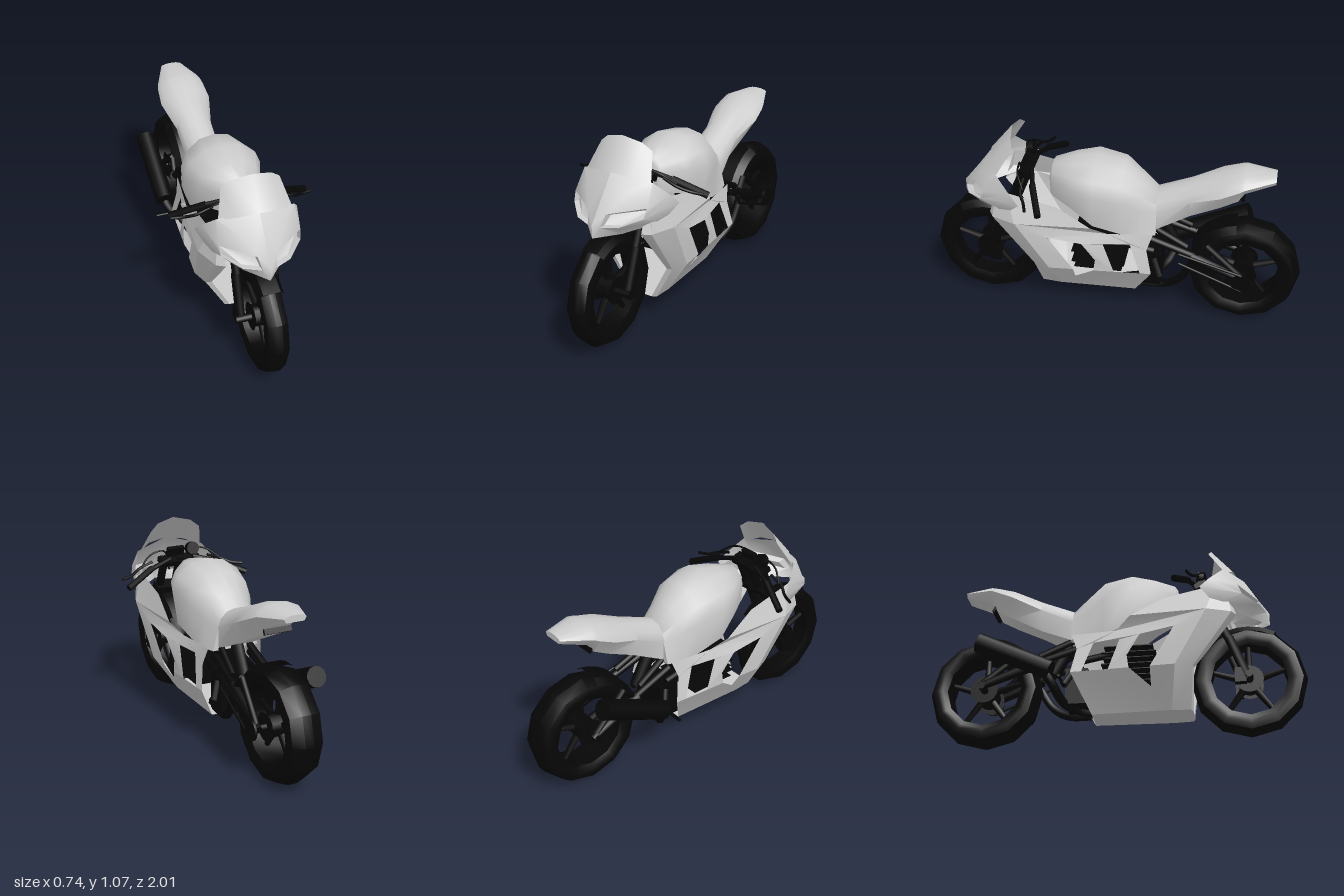
import * as THREE from 'three';
import { toCreasedNormals } from 'three/addons/utils/BufferGeometryUtils.js';

const grey = new THREE.MeshStandardMaterial({ color: 0xcccccc, side: THREE.DoubleSide });
const black = new THREE.MeshStandardMaterial({ color: 0x060606, side: THREE.DoubleSide });
const V = (p) => new THREE.Vector3(...p);

function add(parent, name, geo, mat = black) {
  const mesh = new THREE.Mesh(geo, mat);
  mesh.name = name;
  parent.add(mesh);
  return mesh;
}

function box(parent, name, size, pos, rx = 0) {
  const mesh = add(parent, name, new THREE.BoxGeometry(...size));
  mesh.position.set(...pos);
  mesh.rotation.x = rx;
  return mesh;
}

// Straight bar between two points
function rod(parent, name, a, b, r, r2 = r, sides = 8) {
  const d = V(b).sub(V(a));
  const mesh = add(parent, name, new THREE.CylinderGeometry(r2, r, d.length(), sides));
  mesh.position.copy(V(a)).addScaledVector(d, 0.5);
  mesh.quaternion.setFromUnitVectors(new THREE.Vector3(0, 1, 0), d.normalize());
  return mesh;
}

function tube(parent, name, pts, r) {
  add(parent, name, new THREE.TubeGeometry(new THREE.CatmullRomCurve3(pts.map(V)), 20, r, 7));
}

function faces(points, index, crease = 0.6) {
  const geo = new THREE.BufferGeometry();
  geo.setAttribute('position', new THREE.Float32BufferAttribute(points.flat(), 3));
  geo.setIndex(index);
  return toCreasedNormals(geo, crease);
}

// Surface through rows with equal point counts
function grid(rows, crease) {
  const n = rows[0].length, index = [];
  for (let i = 0; i < rows.length - 1; i++)
    for (let j = 0; j < n - 1; j++) {
      const a = i * n + j, c = a + n;
      index.push(a, a + 1, c, a + 1, c + 1, c);
    }
  return faces(rows.flat(), index, crease);
}

// Body loft; section: z, top y, half width, y of widest, bottom y, bottom half width
function body(sections, crease) {
  const rows = sections.map(([z, top, w, mid, bot, bw]) => {
    const half = [[0, top], [w * 0.45, top - (top - mid) * 0.1], [w * 0.85, mid + (top - mid) * 0.5],
      [w, mid], [bw, bot], [0, bot]];
    const other = half.slice(0, -1).reverse().map(([x, y]) => [-x, y]);
    return [...half, ...other].map(([x, y]) => [x, y, z]);
  });
  const cap = (row) => {
    const y = (row[0][1] + row[5][1]) / 2;
    return row.map((p) => [0, y, p[2]]);
  };
  return grid([cap(rows[0]), ...rows, cap(rows.at(-1))], crease);
}

// Lathe turned so its axis runs along x; angle runs from +z up to +y
function ring(profile, segments, start = 0, sweep = Math.PI * 2) {
  const pts = profile.map(([r, x]) => new THREE.Vector2(r, x));
  return toCreasedNormals(new THREE.LatheGeometry(pts, segments, start, sweep).rotateZ(Math.PI / 2), 0.6);
}

function wheel(name, z, w) {
  const g = new THREE.Group();
  g.name = name;
  g.position.set(0, 0.303, z);
  const half = [[0.2, 0.8 * w], [0.225, 0.95 * w], [0.25, w], [0.28, 0.88 * w], [0.303, 0.25 * w]];
  const outer = half.concat(half.slice().reverse().map(([r, x]) => [r, -x]));
  add(g, 'tyre', ring([...outer, half[0]], 12));
  const hub = add(g, 'hub', new THREE.CylinderGeometry(0.06, 0.06, w * 1.4, 12));
  hub.rotation.z = Math.PI / 2;
  for (const s of [-1, 1]) add(g, 'brakeDisc', ring([[0.03, 0], [0.075, 0]], 16)).position.x = s * w * 0.85;
  for (let i = 0; i < 5; i++) {
    const a = Math.PI / 2 + i * Math.PI * 0.4;
    const at = (r) => [0, r * Math.sin(a), r * Math.cos(a)];
    rod(g, 'spoke', at(0.04), at(0.21), 0.021, 0.014, 6);
  }
  return g;
}

// Half width of the side fairing at a given height and depth; its rear top tucks in under the tank
function fairingX(y, z) {
  const k = [[0.13, 0.1], [0.33, 0.24], [0.62, 0.26], [0.8, 0.2]];
  const i = y < 0.33 ? 0 : y < 0.62 ? 1 : 2;
  const x = THREE.MathUtils.mapLinear(y, k[i][0], k[i + 1][0], k[i][1], k[i + 1][1]);
  const tuck = THREE.MathUtils.clamp((0.1 - z) / 0.1, 0, 1) * Math.max(0, y - 0.33) * 0.22;
  return x * (1 - 0.28 * (0.5 - z)) - tuck;
}

function fairingPanel(outline) {
  const geo = new THREE.ShapeGeometry(new THREE.Shape(outline.map(([z, y]) => new THREE.Vector2(-z, y))));
  const p = geo.attributes.position;
  for (let i = 0; i < p.count; i++) {
    const z = -p.getX(i), y = p.getY(i);
    p.setXYZ(i, fairingX(y, z), y, z);
  }
  return toCreasedNormals(geo, 0.5);
}

// Everything that appears on both sides
function sideParts() {
  const g = new THREE.Group();
  g.name = 'leftSide';

  // Side fairing with its two windows
  add(g, 'upperFairing', fairingPanel([[0.5, 0.62], [0.55, 0.78], [0.28, 0.72], [0.1, 0.62]]), grey);
  add(g, 'middleFairing', fairingPanel([[0.5, 0.62], [0.33, 0.33], [0.2, 0.33], [0.33, 0.54], [0.15, 0.51],
    [0.08, 0.4], [0.09, 0.33], [-0.02, 0.33], [0.04, 0.5], [-0.1, 0.5], [-0.16, 0.33], [-0.22, 0.33],
    [-0.19, 0.47], [-0.22, 0.56], [0.02, 0.56], [0.1, 0.62]]), grey);
  add(g, 'lowerFairing', fairingPanel([[0.33, 0.33], [0.3, 0.13], [-0.12, 0.13], [-0.22, 0.33],
    [0.09, 0.33], [0.2, 0.24], [0.2, 0.33]]), grey);
  const edge = (y, z) => [fairingX(y, z), y, z];
  add(g, 'fairingLeadingEdge', grid([
    [edge(0.78, 0.55), [0.19, 0.79, 0.6], [0.17, 0.79, 0.6]],
    [edge(0.62, 0.5), [0.21, 0.62, 0.63], [0.165, 0.62, 0.655]],
    [edge(0.33, 0.33), [0.195, 0.33, 0.42], [0.165, 0.33, 0.425]],
    [edge(0.13, 0.3), [0.085, 0.13, 0.4], [0.06, 0.13, 0.41]]], 0.4), grey);

  // Nose cowl around the headlight opening
  const rim = [[0, 0.93, 0.65], [0.2, 0.88, 0.6], [0.25, 0.8, 0.52], [0.27, 0.745, 0.47],
    [0.22, 0.66, 0.55], [0.1, 0.635, 0.72], [0, 0.63, 0.83], [0, 0.7, 0.83]];
  const light = [[0.21, 0.775, 0.67], [0.05, 0.75, 0.78], [0.035, 0.69, 0.815],
    [0.12, 0.695, 0.78], [0.205, 0.725, 0.69]];
  const brow = [0.115, 0.84, 0.705];
  add(g, 'noseCowl', faces([...rim, ...light, brow], [0, 13, 1, 1, 13, 8, 13, 9, 8, 0, 9, 13, 0, 7, 9, 7, 10, 9,
    1, 8, 2, 2, 8, 12, 2, 12, 3, 3, 12, 4, 4, 12, 11, 4, 11, 5, 5, 11, 10, 5, 10, 6, 6, 10, 7], 0.8), grey);
  const lens = light.map(([x, y, z]) => [0.12 + (x - 0.12) * 0.95, 0.72 + (y - 0.728) * 0.75, z - 0.035]);
  add(g, 'headlightRecess', grid([[...light, light[0]], [...lens, lens[0]]], 0.3), grey);
  add(g, 'headlight', faces(lens, [0, 1, 2, 0, 2, 3, 0, 3, 4]), grey);

  // Fork leg and brake caliper
  rod(g, 'forkLower', [0.1, 0.28, 0.7], [0.1, 0.52, 0.61], 0.025);
  rod(g, 'forkUpper', [0.095, 0.5, 0.615], [0.095, 0.86, 0.46], 0.023);
  box(g, 'brakeCaliper', [0.04, 0.08, 0.06], [0.1, 0.3, 0.66]);

  // Handlebar, grip, lever and cable
  rod(g, 'handlebar', [0.07, 0.86, 0.44], [0.2, 0.825, 0.405], 0.013);
  rod(g, 'grip', [0.19, 0.83, 0.41], [0.36, 0.755, 0.345], 0.018);
  tube(g, 'lever', [[0.17, 0.85, 0.46], [0.25, 0.82, 0.46], [0.31, 0.795, 0.43], [0.37, 0.787, 0.41]], 0.008);
  tube(g, 'cable', [[0.24, 0.83, 0.45], [0.17, 0.88, 0.49], [0.08, 0.89, 0.5], [0.05, 0.78, 0.5]], 0.005);

  // Frame and swingarm truss
  rod(g, 'frameRail', [0.1, 0.48, 0.08], [0.1, 0.42, -0.22], 0.02);
  rod(g, 'swingarmFront', [0.1, 0.5, -0.2], [0.11, 0.42, -0.44], 0.02);
  rod(g, 'swingarmLower', [0.11, 0.42, -0.42], [0.125, 0.3, -0.72], 0.032, 0.022);
  rod(g, 'swingarmUpper', [0.1, 0.49, -0.5], [0.125, 0.32, -0.7], 0.018);
  rod(g, 'swingarmBrace', [0.1, 0.49, -0.5], [0.11, 0.4, -0.42], 0.018);
  rod(g, 'subframe', [0.08, 0.56, -0.22], [0.1, 0.47, -0.4], 0.018);
  rod(g, 'footrestBracket', [0.1, 0.37, -0.22], [0.14, 0.28, -0.26], 0.018);
  return g;
}

export function createModel() {
  const model = new THREE.Group();
  model.name = 'motorcycle';
  model.add(wheel('frontWheel', 0.705, 0.06), wheel('rearWheel', -0.702, 0.095));

  const left = sideParts();
  const right = left.clone();
  right.name = 'rightSide';
  right.scale.x = -1;
  model.add(left, right);

  // Fuel tank, seat and tail
  add(model, 'fuelTank', body([
    [0.345, 0.86, 0.07, 0.8, 0.71, 0.06], [0.33, 0.885, 0.085, 0.8, 0.7, 0.08],
    [0.22, 0.915, 0.165, 0.8, 0.67, 0.14], [0.1, 0.94, 0.21, 0.79, 0.6, 0.18],
    [-0.05, 0.915, 0.18, 0.75, 0.55, 0.16], [-0.15, 0.83, 0.13, 0.69, 0.54, 0.15],
    [-0.23, 0.755, 0.1, 0.66, 0.545, 0.13]], 1), grey);
  add(model, 'seatAndTail', body([
    [-0.21, 0.755, 0.1, 0.66, 0.55, 0.1], [-0.4, 0.83, 0.1, 0.75, 0.64, 0.06],
    [-0.56, 0.9, 0.14, 0.82, 0.72, 0.07], [-0.65, 0.925, 0.132, 0.86, 0.77, 0.07],
    [-0.68, 0.928, 0.125, 0.875, 0.82, 0.07], [-0.835, 0.915, 0.06, 0.9, 0.88, 0.05]], 0.8), grey);
  box(model, 'tailLight', [0.15, 0.05, 0.015], [0, 0.795, -0.664], 0.5);

  // Windscreen and belly pan
  const mirrorRow = (row) => [...row, ...row.slice(0, -1).reverse().map(([x, y, z]) => [-x, y, z])];
  add(model, 'windscreen', grid([
    [[0.15, 1.005, 0.52], [0.1, 1.045, 0.535], [0, 1.068, 0.55]],
    [[0.19, 0.87, 0.6], [0.11, 0.905, 0.65], [0, 0.92, 0.67]]].map(mirrorRow), 1), grey);
  add(model, 'bellyPan', grid([[0.41, 0.06], [0.4, 0.085], [0.3, fairingX(0.13, 0.3)], [-0.12, fairingX(0.13, -0.12)]]
    .map(([z, x]) => [[-x, 0.13, z], [x, 0.13, z]])), grey);

  // Mudguards
  add(model, 'frontMudguard', ring([[0.27, -0.07], [0.305, -0.045], [0.308, 0], [0.305, 0.045], [0.27, 0.07]],
    6, 1.05, 1.4)).position.set(0, 0.303, 0.705);
  add(model, 'rearMudguard', ring([[0.28, -0.1], [0.31, -0.06], [0.31, 0.06], [0.28, 0.1]],
    6, 0.4, 1)).position.set(0, 0.303, -0.702);

  // Axles, steering head and instruments
  rod(model, 'frontAxle', [-0.13, 0.3, 0.705], [0.13, 0.3, 0.705], 0.02);
  rod(model, 'rearAxle', [-0.15, 0.3, -0.7], [0.15, 0.3, -0.7], 0.02);
  box(model, 'upperClamp', [0.24, 0.03, 0.07], [0, 0.84, 0.47], -0.4);
  box(model, 'lowerClamp', [0.24, 0.04, 0.07], [0, 0.67, 0.54], -0.4);
  rod(model, 'steeringStem', [0, 0.66, 0.54], [0, 0.86, 0.46], 0.025);
  rod(model, 'gauge', [-0.08, 0.89, 0.49], [-0.08, 0.9, 0.455], 0.037, 0.037, 12);
  box(model, 'instrumentPanel', [0.1, 0.05, 0.025], [0.02, 0.89, 0.48], -0.4);

  // Engine with cooling fins
  box(model, 'engine', [0.2, 0.2, 0.12], [0, 0.29, -0.2]);
  for (let i = 0; i < 7; i++) box(model, 'coolingFin', [0.28, 0.005, 0.26 + 0.03 * (i % 2)], [0, 0.29 + i * 0.033, 0.08]);
  rod(model, 'shockAbsorber', [0, 0.58, -0.24], [0, 0.4, -0.34], 0.035);

  // Exhaust on the right, chain on the left
  tube(model, 'exhaustPipe', [[0.05, 0.18, -0.05], [0, 0.19, -0.2], [-0.1, 0.2, -0.27], [-0.18, 0.28, -0.32], [-0.205, 0.34, -0.36]], 0.025);
  rod(model, 'muffler', [-0.205, 0.34, -0.32], [-0.205, 0.52, -0.71], 0.052, 0.055, 12);
  tube(model, 'lowerLink', [[0.07, 0.18, -0.14], [0.08, 0.19, -0.27], [0.1, 0.25, -0.36], [0.11, 0.36, -0.43]], 0.022);
  rod(model, 'footPeg', [-0.27, 0.28, -0.265], [-0.13, 0.28, -0.265], 0.008);
  for (const y of [0.05, -0.05]) rod(model, 'chain', [0.15, 0.42 + y * 0.6, -0.36], [0.155, 0.3 + y, -0.7], 0.008);
  const sprocket = add(model, 'sprocket', new THREE.CylinderGeometry(0.055, 0.055, 0.012, 16));
  sprocket.rotation.z = Math.PI / 2;
  sprocket.position.set(0.155, 0.3, -0.7);
  return model;
}
